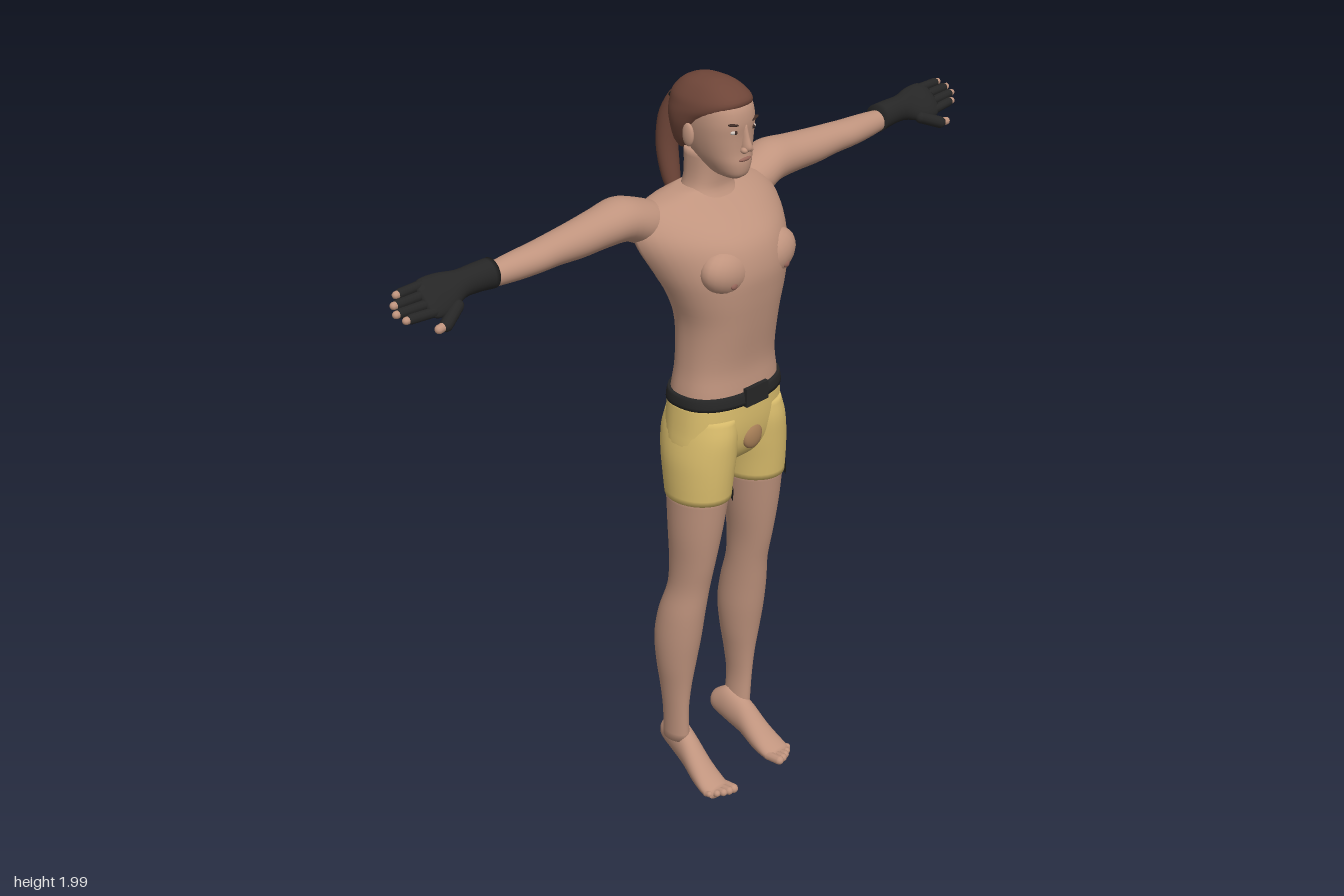
import * as THREE from 'three';

const mat = (name, color, side = THREE.FrontSide) => {
  const m = new THREE.MeshStandardMaterial({ color, side });
  m.name = name;
  return m;
};

// Smooth closed surface through cross-sections; ring(v, c, s) places one point of section v
function loft(sections, ring, mirror = 1, n = 32, steps = 4) {
  const w = sections[0].length;
  const spline = new THREE.CubicInterpolant(sections.map((_, i) => i), sections.flat(), w, new Float32Array(w));
  const rows = (sections.length - 1) * steps;
  const pos = [], idx = [];
  for (let i = 0; i <= rows; i++) {
    const v = Array.from(spline.evaluate(i / steps));
    for (let j = 0; j < n; j++) {
      const a = (j / n) * Math.PI * 2;
      const [x, y, z] = ring(v, Math.cos(a), Math.sin(a));
      pos.push(x * mirror, y, z);
    }
  }
  for (let i = 0; i < rows; i++) for (let j = 0; j < n; j++) {
    const a = i * n + j, b = i * n + (j + 1) % n;
    idx.push(a, a + n, b, b, a + n, b + n);
  }
  // end caps
  for (const [row, flip] of [[0, false], [rows, true]]) {
    const mid = [0, 0, 0], c = pos.length / 3;
    for (let j = 0; j < n; j++) for (let k = 0; k < 3; k++) mid[k] += pos[(row * n + j) * 3 + k] / n;
    pos.push(...mid);
    for (let j = 0; j < n; j++) {
      const a = row * n + j, b = row * n + (j + 1) % n;
      idx.push(c, flip ? b : a, flip ? a : b);
    }
  }
  // turn the faces outward
  let volume = 0;
  const p = i => new THREE.Vector3().fromArray(pos, i * 3);
  for (let i = 0; i < idx.length; i += 3) volume += p(idx[i]).dot(p(idx[i + 1]).cross(p(idx[i + 2])));
  if (volume < 0) idx.reverse();
  const g = new THREE.BufferGeometry();
  g.setAttribute('position', new THREE.Float32BufferAttribute(pos, 3));
  g.setIndex(idx);
  g.computeVertexNormals();
  return g;
}

// Section rules
const soft = t => Math.sign(t) * Math.abs(t) ** 0.85;
const body = ([y, hw, front, back, mid, k], c, s) =>
  [hw * soft(c) * (1 - k * Math.max(0, s)), y, mid + soft(s) * (s > 0 ? front - mid : mid - back)];
const limb = ([y, x, z, rx, rz], c, s) => [x + rx * c, y, z + rz * s];
const foot = ([z, x, y, rx, ry], c, s) => [x + rx * c, y + ry * s, z];
const arm = ([x, y, z, ry, rz, roll], c, s) => {
  const u = ry * c, w = rz * s;
  return [x, y + u * Math.cos(roll) - w * Math.sin(roll), z + u * Math.sin(roll) + w * Math.cos(roll)];
};

export function createModel() {
  const root = new THREE.Group();
  root.name = 'figure';
  const skin = mat('skin', 0xc0947e), yellow = mat('shortsYellow', 0xdabd6c), hair = mat('hairBrown', 0x6e4538);
  const black = mat('black', 0x262626, THREE.DoubleSide), tan = mat('tan', 0xa98058);
  const dark = mat('browBrown', 0x3f2c26), lip = mat('lips', 0x96665a), white = mat('eyeWhite', 0xcfc4bc);

  const add = (name, geo, m) => {
    const mesh = new THREE.Mesh(geo, m);
    mesh.name = name;
    root.add(mesh);
    return mesh;
  };
  const blob = (name, m, p, r, rz = 0) => {
    const mesh = add(name, new THREE.SphereGeometry(1, 20, 14), m);
    mesh.position.set(...p);
    mesh.scale.set(...r);
    mesh.rotation.z = rz;
  };
  const capsule = (name, m, p, q, r) => {
    const a = new THREE.Vector3(...p), b = new THREE.Vector3(...q), d = b.clone().sub(a);
    const mesh = add(name, new THREE.CapsuleGeometry(r, d.length(), 4, 10), m);
    mesh.position.copy(a).add(b).multiplyScalar(0.5);
    mesh.quaternion.setFromUnitVectors(new THREE.Vector3(0, 1, 0), d.normalize());
  };

  // Torso and neck
  add('torso', loft([
    [1.15, .158, .15, -.06, .045, 0], [1.20, .153, .148, -.055, .045, 0], [1.27, .144, .146, -.045, .045, 0],
    [1.38, .146, .164, -.042, .045, 0], [1.46, .172, .176, -.044, .04, .08], [1.53, .206, .18, -.058, .02, .2],
    [1.60, .236, .16, -.085, -.01, .3], [1.65, .235, .11, -.1, -.03, .3], [1.69, .19, .05, -.098, -.035, .2],
    [1.715, .08, .02, -.07, -.03, 0]], body, 1, 48), skin);
  add('neck', loft([[1.65, .11, .08, -.085, 0, 0], [1.70, .075, .045, -.072, -.01, 0],
    [1.74, .061, .042, -.064, -.01, 0], [1.81, .058, .05, -.065, -.01, 0]], body), skin);

  // Shorts, waistband and buckle
  add('shortsHips', loft([[1.175, .16, .154, -.065, .045, 0], [1.10, .168, .153, -.068, .045, 0],
    [1.04, .172, .142, -.055, .045, 0], [1.0, .14, .12, -.03, .045, 0], [.975, .06, .09, .01, .045, 0]], body, 1, 48), yellow);
  add('waistband', loft([[1.163, .164, .159, -.07, .045, 0], [1.18, .163, .158, -.068, .045, 0],
    [1.195, .159, .155, -.064, .045, 0]], body, 1, 48, 2), black);
  add('buckle', new THREE.BoxGeometry(.08, .05, .012), black).position.set(0, 1.183, .157);
  blob('frontPanel', tan, [0, 1.06, .144], [.034, .036, .015]);

  for (const s of [1, -1]) {
    const side = s > 0 ? 'left' : 'right';
    // Chest and back muscles
    blob(side + 'Pec', skin, [s * .082, 1.535, .125], [.08, .06, .05], s * .3);
    blob(side + 'Nipple', lip, [s * .095, 1.512, .168], [.011, .009, .006]);
    blob(side + 'ShoulderBlade', skin, [s * .11, 1.61, -.072], [.07, .08, .035], s * .2);

    // Arm
    add(side + 'Arm', loft([[.13, 1.64, -.045, .045, .05, 0], [.2, 1.655, -.05, .06, .064, 0],
      [.265, 1.678, -.053, .056, .064, 0], [.34, 1.678, -.05, .05, .056, 0], [.42, 1.675, -.046, .046, .05, 0],
      [.5, 1.675, -.043, .04, .044, 0], [.56, 1.673, -.042, .037, .042, 0], [.63, 1.67, -.046, .034, .036, 0],
      [.71, 1.668, -.05, .027, .027, 0]], arm, s), skin);

    // Glove, fingers and thumb
    add(side + 'Glove', loft([[.69, 1.675, -.049, .038, .035, 0], [.74, 1.678, -.05, .035, .033, -.2],
      [.79, 1.679, -.048, .035, .028, -.6], [.84, 1.677, -.043, .05, .022, -.78],
      [.885, 1.677, -.041, .052, .019, -.78], [.91, 1.677, -.041, .04, .012, -.78]], arm, s), black);
    for (let f = 0; f < 4; f++) {
      const t = (f - 1.5) * .024, reach = [.95, .97, .976, .96][f];
      const base = [s * .88, 1.678 - .7 * t, -.041 + .7 * t], tip = [s * reach, 1.68 - .65 * t, -.043 + .6 * t];
      capsule(side + 'GloveFinger', black, base, tip, .0125);
      capsule(side + 'Fingertip', skin, tip, [tip[0] + s * .013, tip[1], tip[2]], .0095);
    }
    capsule(side + 'GloveThumb', black, [s * .83, 1.65, -.01], [s * .885, 1.627, .012], .016);
    capsule(side + 'ThumbTip', skin, [s * .885, 1.627, .012], [s * .908, 1.625, .014], .011);

    // Leg of the shorts, bare leg
    add(side + 'ShortsLeg', loft([[1.13, .082, .045, .072, .104, 0], [1.08, .088, .044, .081, .112, 0],
      [1.02, .094, .045, .086, .108, 0], [.96, .099, .048, .083, .1, 0], [.9, .101, .05, .08, .092, 0]], limb, s), yellow);
    add(side + 'Leg', loft([[.92, .101, .05, .077, .089], [.8, .107, .045, .066, .077], [.7, .11, .037, .054, .067],
      [.62, .112, .026, .051, .06], [.54, .119, .008, .057, .066], [.46, .122, -.005, .058, .067],
      [.38, .124, -.01, .05, .058], [.3, .125, -.012, .036, .048], [.22, .125, -.012, .027, .041],
      [.13, .12, -.015, .027, .042]], limb, s), skin);

    // Foot with lowered toes
    add(side + 'Foot', loft([[-.086, .1, .12, .01, .014], [-.07, .1, .122, .024, .034], [-.025, .105, .122, .031, .056],
      [.025, .112, .098, .033, .055], [.075, .117, .057, .038, .043], [.12, .121, .032, .042, .026],
      [.15, .122, .026, .038, .014]], foot, s), skin);
    for (let t = 0; t < 5; t++) {
      const x = s * (.092 + t * .016), r = .013 - t * .001;
      capsule(side + 'Toe', skin, [x, .027, .13], [x, .03, .17 - t * t * .0018], r);
    }

    // Face details
    blob(side + 'EyeWhite', white, [s * .031, 1.878, .107], [.013, .006, .007]);
    blob(side + 'Iris', dark, [s * .031, 1.878, .111], [.005, .0055, .005]);
    blob(side + 'Eyebrow', dark, [s * .033, 1.897, .108], [.02, .004, .008], s * .18);
    blob(side + 'Ear', skin, [s * .08, 1.858, 0], [.009, .03, .018]);
    blob(side + 'Nostril', skin, [s * .01, 1.829, .12], [.009, .008, .01]);
  }

  // Dark hem patches, both facing the same way
  for (const [name, x, start, length] of [['leftHemPatch', .101, .75, .55], ['rightHemPatch', -.101, .75, .95]]) {
    const patch = add(name, new THREE.CylinderGeometry(1, 1, .042, 8, 1, true, start, length), black);
    patch.scale.set(.084, 1, .096);
    patch.position.set(x, .892, .05);
  }

  // Head
  add('head', loft([[1.75, .02, .098, .045, .07, 0], [1.762, .038, .112, .02, .06, 0], [1.79, .055, .117, -.02, .04, 0],
    [1.82, .066, .114, -.05, .03, 0], [1.86, .074, .115, -.075, .025, 0], [1.90, .077, .118, -.088, .02, 0],
    [1.94, .072, .108, -.088, .01, 0], [1.972, .05, .07, -.065, 0, 0], [1.986, .02, .03, -.03, 0, 0]], body), skin);
  add('nose', loft([[1.893, 0, .108, .007, .01], [1.86, 0, .112, .009, .015], [1.834, 0, .116, .012, .02],
    [1.822, 0, .113, .008, .01]], limb, 1, 16), skin);
  blob('mouth', lip, [0, 1.803, .113], [.021, .0055, .007]);

  // Swept-back hair with ponytail
  add('hair', loft([[1.805, .05, -.04, -.072, -.055, 0], [1.83, .069, -.02, -.088, -.045, 0], [1.87, .082, .015, -.1, -.03, 0],
    [1.90, .085, .06, -.106, -.02, 0], [1.925, .083, .1, -.106, 0, 0], [1.95, .074, .11, -.1, 0, 0],
    [1.978, .05, .075, -.072, 0, 0], [1.994, .018, .03, -.028, 0, 0]], body, 1, 40), hair);
  add('ponytail', loft([[1.935, 0, -.1, .014, .014], [1.91, 0, -.122, .018, .019], [1.85, 0, -.144, .027, .027],
    [1.77, 0, -.15, .03, .027], [1.69, 0, -.137, .025, .023], [1.645, 0, -.122, .014, .014],
    [1.625, 0, -.116, .004, .004]], limb, 1, 20), hair);
  const tie = add('hairTie', new THREE.TorusGeometry(.018, .006, 8, 20), black);
  tie.position.set(0, 1.92, -.113);
  tie.rotation.x = 1;

  return root;
}
